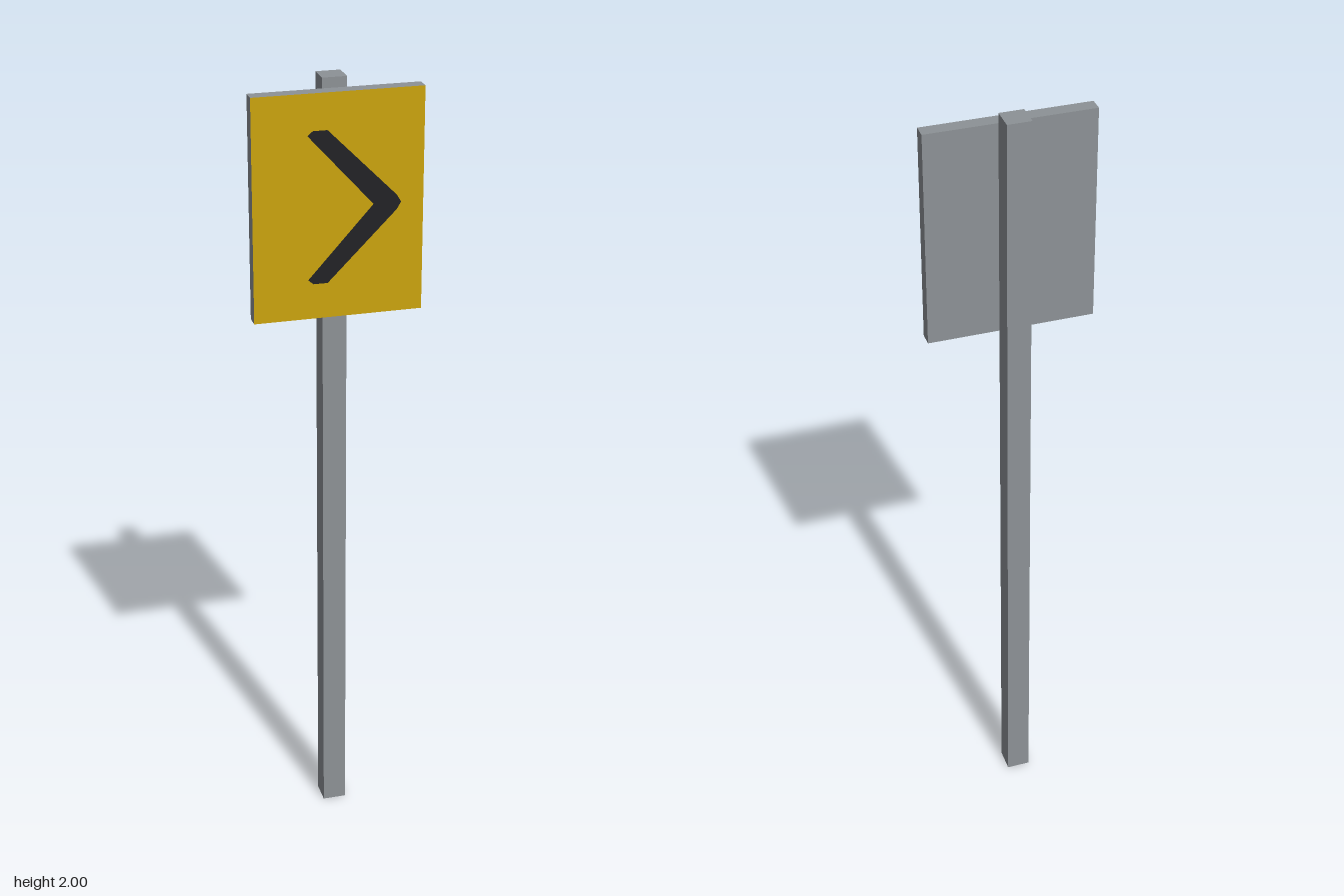
import * as THREE from 'three';

const material = (name, color) => {
  const m = new THREE.MeshStandardMaterial({ color });
  m.name = name;
  return m;
};

export function createModel() {
  const grey = material('galvanised grey', 0x8d9296);
  const yellow = material('sign yellow', 0xcba40e);
  const black = material('marking black', 0x222326);

  const model = new THREE.Group();
  model.name = 'roadSign';
  const add = (name, geometry, mat, x, y, z) => {
    const mesh = new THREE.Mesh(geometry, mat);
    mesh.name = name;
    mesh.position.set(x, y, z);
    model.add(mesh);
  };

  // Square post behind the panel
  add('post', new THREE.BoxGeometry(0.06, 2, 0.06), grey, 0, 1, -0.019);

  // Panel: grey box whose front (+z) face is yellow
  add('signPanel', new THREE.BoxGeometry(0.416, 0.55, 0.036),
    [grey, grey, grey, grey, yellow, grey], 0, 1.7, 0.029);

  // Chevron marking, upper outline mirrored about its centre line
  const upper = [[0.085, 0], [-0.075, 0.176], [-0.062, 0.187], [-0.027, 0.187], [0.142, 0.018], [0.153, 0]];
  const lower = upper.slice(1, -1).reverse().map(([x, y]) => [x, -y]);
  const outline = [...upper, ...lower].map(([x, y]) => new THREE.Vector2(x, y));
  add('chevron', new THREE.ShapeGeometry(new THREE.Shape(outline)), black, 0, 1.7, 0.0485);

  return model;
}
